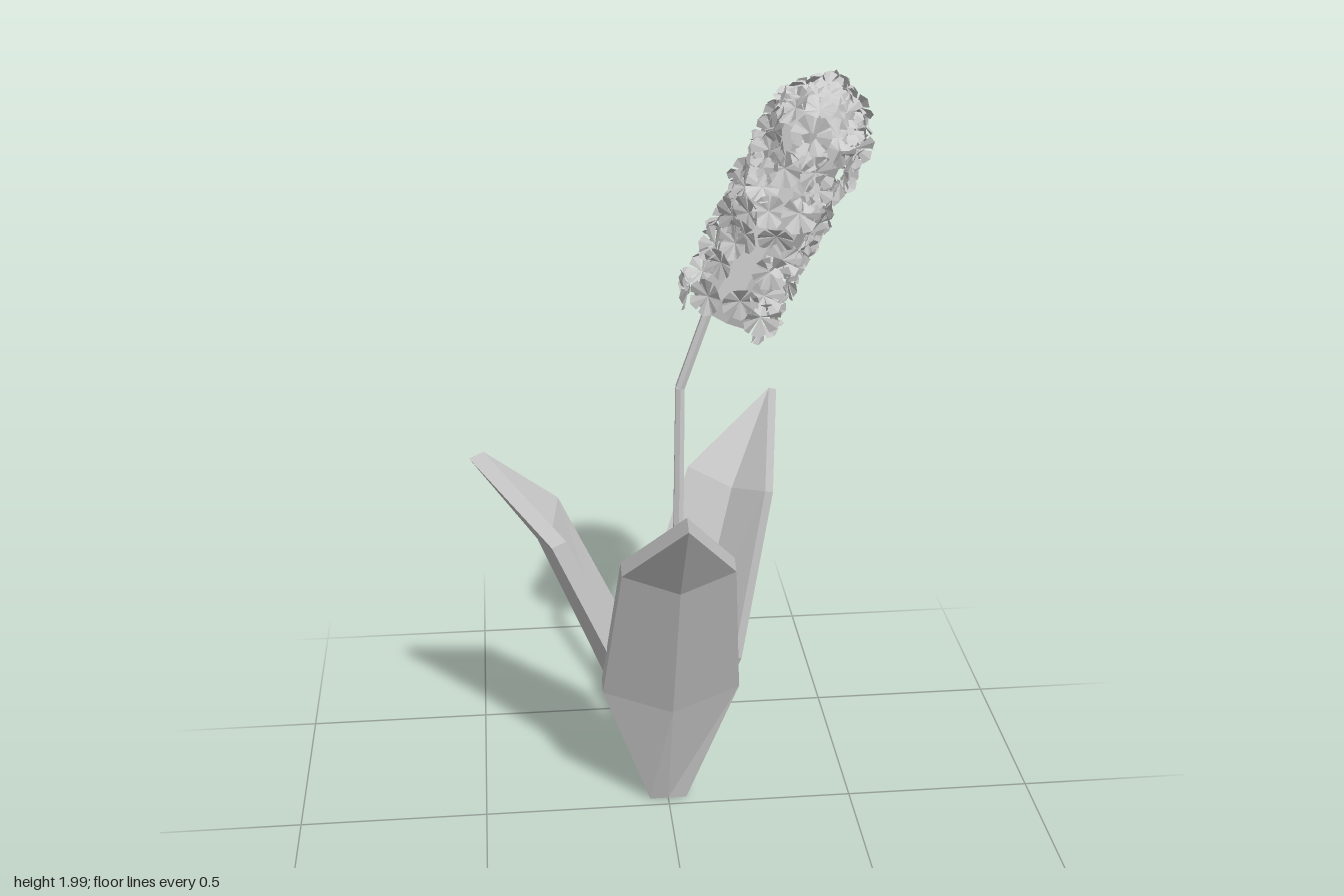
import * as THREE from 'three';
import { mergeGeometries } from 'three/addons/utils/BufferGeometryUtils.js';

const grey = new THREE.MeshStandardMaterial({ color: 0xcccccc, flatShading: true });
const thin = new THREE.MeshStandardMaterial({ color: 0xcccccc, flatShading: true, side: THREE.DoubleSide });

function makeMesh(name, geometry, material = grey) {
  const mesh = new THREE.Mesh(geometry, material);
  mesh.name = name;
  return mesh;
}

// Small seeded generator
function seeded(seed) {
  return () => {
    seed = (seed * 16807) % 2147483647;
    return seed / 2147483647;
  };
}

// Thick keeled leaf growing up and toward +z from its base
function leafGeometry() {
  // half width, edge z, edge y, keel z, keel y
  const stations = [
    [0.05, 0, 0, 0, 0],
    [0.18, 0.08, 0.4, 0.13, 0.36],
    [0.14, 0.28, 0.85, 0.31, 0.81],
    [0, 0.49, 1.07, 0.49, 1.07],
  ];
  const dz = -0.04, dy = 0.018;
  const positions = [], index = [];
  for (const [w, ez, ey, kz, ky] of stations) {
    positions.push(-w, ey, ez, 0, ky, kz, w, ey, ez);
    positions.push(w, ey + dy, ez + dz, 0, ky + dy, kz + dz, -w, ey + dy, ez + dz);
  }
  for (let s = 0; s < stations.length - 1; s++) {
    for (let i = 0; i < 6; i++) {
      const a = s * 6 + i, b = s * 6 + (i + 1) % 6;
      index.push(a, b, b + 6, a, b + 6, a + 6);
    }
  }
  for (let i = 1; i < 5; i++) index.push(0, i + 1, i);
  const geometry = new THREE.BufferGeometry();
  geometry.setAttribute('position', new THREE.Float32BufferAttribute(positions, 3));
  geometry.setIndex(index);
  const flat = geometry.toNonIndexed();
  flat.computeVertexNormals();
  return flat;
}

// Cupped floret of wedge petals, facing +y
function floretGeometry() {
  const petals = 6, r = 0.046, positions = [];
  for (let i = 0; i < petals; i++) {
    const mid = (i / petals) * Math.PI * 2;
    const at = (a, radius, h) => [Math.cos(a) * radius, h, Math.sin(a) * radius];
    const left = at(mid - 0.44, r, 0.012), right = at(mid + 0.44, r, 0.012);
    const tip = at(mid, r * 1.05, 0.018);
    positions.push(0, 0, 0, ...tip, ...left, 0, 0, 0, ...right, ...tip);
  }
  const geometry = new THREE.BufferGeometry();
  geometry.setAttribute('position', new THREE.Float32BufferAttribute(positions, 3));
  geometry.computeVertexNormals();
  return geometry;
}

// Tapered straight rod between two points
function rod(name, from, to, r0, r1) {
  const dir = to.clone().sub(from);
  const mesh = makeMesh(name, new THREE.CylinderGeometry(r1, r0, dir.length(), 6));
  mesh.position.copy(from).addScaledVector(dir, 0.5);
  mesh.quaternion.setFromUnitVectors(new THREE.Vector3(0, 1, 0), dir.normalize());
  return mesh;
}

export function createModel() {
  const model = new THREE.Group();
  model.name = 'floweringBulbPlant';

  // Leaves: name, base x, y, z, heading, scale
  const leaf = leafGeometry();
  for (const [name, x, y, z, heading, scale] of [
    ['frontLeaf', 0, 0, -0.03, 0, 1],
    ['rightLeaf', -0.05, 0.05, -0.09, -1.53, 0.92],
    ['backLeaf', 0.03, 0.05, -0.12, 2.39, 0.92],
  ]) {
    const mesh = makeMesh(name, leaf);
    mesh.position.set(x, y, z);
    mesh.rotation.y = heading;
    mesh.scale.setScalar(scale);
    model.add(mesh);
  }

  // Stem with a bend below the flower
  const bend = new THREE.Vector3(0.035, 1.2, -0.087);
  model.add(rod('lowerStem', new THREE.Vector3(0.025, 0.05, -0.08), bend, 0.018, 0.013));
  model.add(rod('upperStem', bend, new THREE.Vector3(0.12, 1.45, -0.085), 0.013, 0.013));

  // Flower head, leaning toward +x
  const head = new THREE.Group();
  head.name = 'flowerHead';
  head.position.set(0.135, 1.39, -0.083);
  head.rotation.z = -0.455;
  model.add(head);

  const profile = [[0, 0], [0.08, 0.01], [0.092, 0.06], [0.094, 0.3], [0.088, 0.5], [0.06, 0.6], [0, 0.63]]
    .map(([r, y]) => new THREE.Vector2(r, y));
  head.add(makeMesh('flowerCore', new THREE.LatheGeometry(profile, 10)));

  // Florets: a ring at the foot, then a spiral growing denser to the top
  const random = seeded(77);
  const up = new THREE.Vector3(0, 1, 0);
  const floret = floretGeometry();
  const florets = [];
  function addFloret(angle, t) {
    const h = 0.01 + t * 0.61;
    const round = Math.max(0, (t - 0.8) / 0.2);
    const r = 0.108 * Math.sqrt(Math.max(0, 1 - round * round));
    const normal = new THREE.Vector3(Math.cos(angle), round * 1.5, Math.sin(angle));
    normal.x += (random() - 0.5) * 0.9;
    normal.y += (random() - 0.5) * 1.1;
    normal.z += (random() - 0.5) * 0.9;
    const turn = new THREE.Quaternion().setFromUnitVectors(up, normal.normalize());
    turn.multiply(new THREE.Quaternion().setFromAxisAngle(up, random() * 6.28));
    const size = 0.85 + random() * 0.2;
    const matrix = new THREE.Matrix4().compose(
      new THREE.Vector3(Math.cos(angle) * r, h, Math.sin(angle) * r),
      turn, new THREE.Vector3(size, size, size));
    florets.push(floret.clone().applyMatrix4(matrix));
  }
  for (let i = 0; i < 9; i++) addFloret(i * 0.7 + 0.2, 0.02 + random() * 0.1);
  const count = 100;
  for (let i = 0; i < count; i++) {
    addFloret(i * 2.4 + random() * 0.6, 0.1 + 0.9 * Math.pow((i + 0.5) / count, 0.75));
  }
  head.add(makeMesh('florets', mergeGeometries(florets), thin));

  return model;
}
